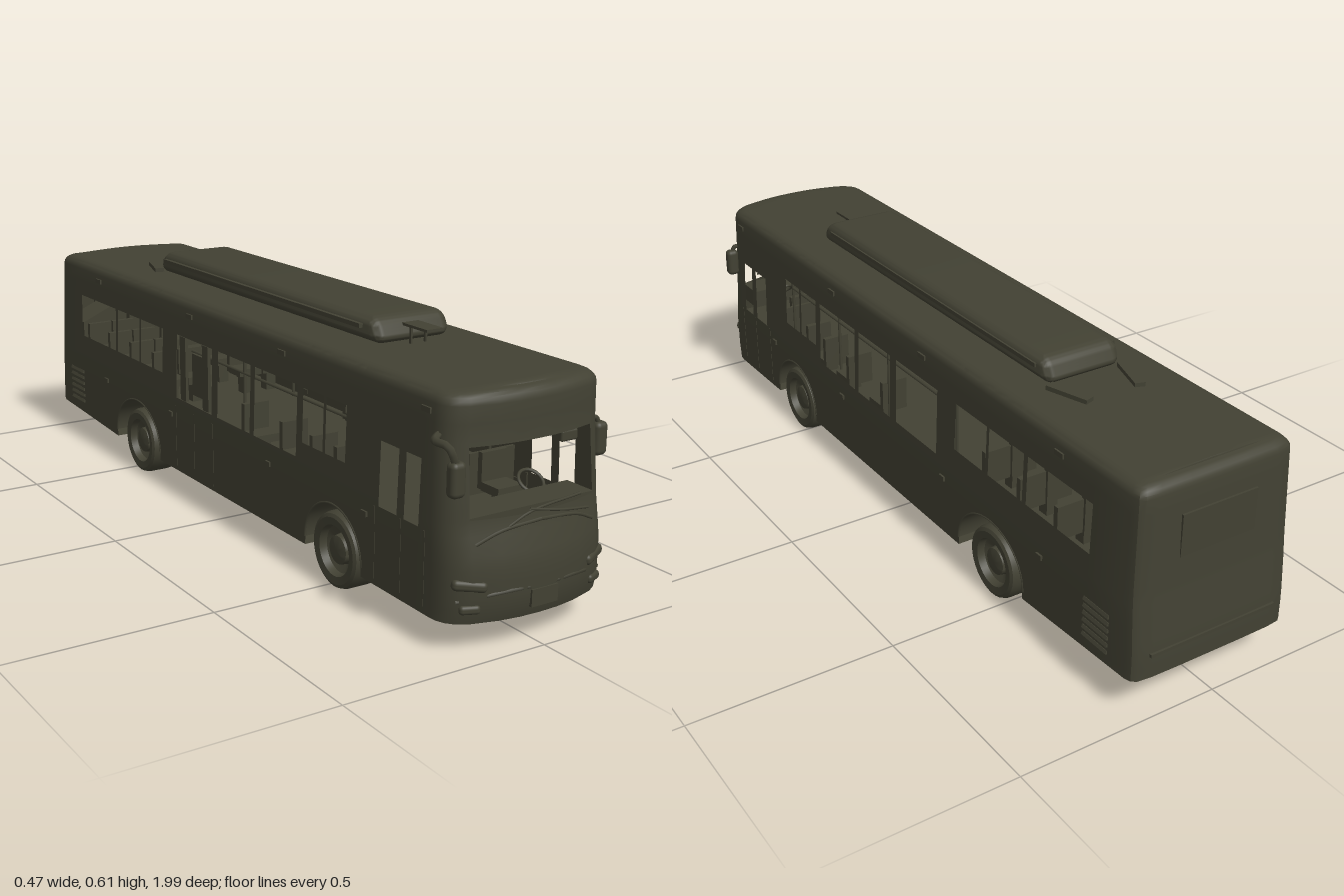
import * as THREE from 'three';
import { toCreasedNormals } from 'three/addons/utils/BufferGeometryUtils.js';
import { RoundedBoxGeometry } from 'three/addons/geometries/RoundedBoxGeometry.js';

const olive = new THREE.MeshStandardMaterial({ color: 0x424133, side: THREE.DoubleSide });
olive.name = 'darkOlive';

// side windows: [zFront, zRear, yLow, yHigh]
const WINDOWS = [
  [0.84, 0.79, 0.25, 0.395], [0.765, 0.7, 0.25, 0.395],
  [0.57, 0.49, 0.31, 0.44], [0.48, 0.395, 0.31, 0.44],
  [0.37, 0.18, 0.27, 0.44], [0.16, 0, 0.27, 0.44], [-0.03, -0.22, 0.27, 0.44],
  [-0.3, -0.43, 0.32, 0.44], [-0.44, -0.575, 0.32, 0.44], [-0.59, -0.82, 0.32, 0.44],
];
// wheel arches: centre z and half axes
const ARCHES = [{ z: 0.525, a: 0.112, b: 0.11 }, { z: -0.455, a: 0.133, b: 0.115 }];
const AXLE_Y = 0.09;

// piecewise linear lookup
function ramp(y, pts) {
  if (y <= pts[0][0]) return pts[0][1];
  for (let i = 1; i < pts.length; i++) {
    const [y0, v0] = pts[i - 1], [y1, v1] = pts[i];
    if (y <= y1) return v0 + (v1 - v0) * (y - y0) / (y1 - y0);
  }
  return pts[pts.length - 1][1];
}

// lower edge of the body, rising towards the tail
const sill = z => ramp(z, [[-0.98, 0.092], [-0.588, 0.07], [0.5, 0.07], [0.95, 0.066]]);

// lean and bulge of the walls with height
function shape(x, y, z) {
  const w = ramp(y, [[0.25, 1.005], [0.515, 0.968]]);
  const front = ramp(y, [[0.07, 0.008], [0.1, 0.02], [0.19, 0.02], [0.27, 0], [0.44, -0.02], [0.55, -0.02]]);
  const rear = ramp(y, [[0.15, -0.01], [0.3, 0], [0.55, 0.008]]);
  const dz = z > 0.85 ? front * (z - 0.85) / 0.12 : z < -0.93 ? rear : 0;
  return [x * w, y, z + dz];
}

// half plan outline from front centre round the +x side to rear centre
const NOSE = [[0, 0.972], [0.05, 0.97], [0.1, 0.963], [0.163, 0.946], [0.185, 0.934], [0.2, 0.918], [0.208, 0.9], [0.21, 0.88]];
const TAIL = [[0.21, -0.945], [0.206, -0.962], [0.195, -0.971], [0.16, -0.975], [0.08, -0.976], [0, -0.976]];
function halfPlan() {
  const zs = WINDOWS.flatMap(w => [w[0], w[1]]);
  for (const { z, a } of ARCHES) {
    zs.push(z + a, z - a);
    for (let k = 0; k <= 16; k++) zs.push(z + a * 0.998 * Math.cos(k * Math.PI / 16));
  }
  zs.sort((p, q) => q - p);
  return [...NOSE, ...zs.map(z => [0.21, z]), ...TAIL];
}

function bottomAt(x, z) {
  for (const { z: c, a, b } of ARCHES) {
    const t = (z - c) / a;
    if (Math.abs(x) > 0.2099 && Math.abs(t) < 0.999) return AXLE_Y + b * Math.sqrt(1 - t * t);
  }
  return sill(z);
}

function bodyGeometry() {
  const half = halfPlan(), n = 2 * (half.length - 1);
  const plan = [...half, ...half.slice(1, -1).reverse().map(([x, z]) => [-x, z])];
  const rows = [];
  for (let k = 0; k <= 5; k++) rows.push({ t: k / 5 });
  for (const y of [0.25, 0.27, 0.285, 0.31, 0.32, 0.395, 0.433, 0.44, 0.48]) rows.push({ y });
  for (let k = 0; k <= 5; k++) {
    const a = k * Math.PI / 10;
    rows.push({ y: 0.517 + 0.026 * Math.sin(a), inset: 0.028 * (1 - Math.cos(a)) });
  }
  const pos = [], idx = [], id = (i, r) => r * n + (i % n);
  for (const { t, y, inset = 0 } of rows) for (const [x, z] of plan) {
    const yy = y ?? THREE.MathUtils.lerp(bottomAt(x, z), 0.212, t);
    const p = shape(x, yy, z);
    pos.push(p[0] * (1 - inset / 0.2), p[1], p[2] * (1 - inset / 0.97));
  }
  const isHole = (a, b, y) => {
    const z = (a[1] + b[1]) / 2, x = Math.abs(a[0] + b[0]) / 2;
    if (z > 0.9) return x < 0.163 && y > 0.285 && y < 0.433;
    return x > 0.2099 && WINDOWS.some(w => z < w[0] && z > w[1] && y > w[2] && y < w[3]);
  };
  for (let r = 0; r < rows.length - 1; r++) for (let i = 0; i < n; i++) {
    const y = (rows[r].y + rows[r + 1].y) / 2;
    if (y && isHole(plan[i], plan[(i + 1) % n], y)) continue;
    idx.push(id(i, r), id(i + 1, r), id(i + 1, r + 1), id(i, r), id(i + 1, r + 1), id(i, r + 1));
  }
  // cambered roof between the mirrored upper edges
  const first = pos.length / 3, top = (rows.length - 1) * n, M = 6;
  for (let i = 0; i < half.length; i++) for (let k = 0; k <= M; k++) {
    const s = 1 - 2 * k / M, x = pos[(top + i) * 3], z = pos[(top + i) * 3 + 2];
    pos.push(x * s, 0.543 + 0.005 * (1 - s * s) * Math.min(1, x / 0.1), z);
  }
  for (let i = 0; i < half.length - 1; i++) for (let k = 0; k < M; k++) {
    const a = first + i * (M + 1) + k, b = a + M + 1;
    idx.push(a, b, b + 1, a, b + 1, a + 1);
  }
  const g = new THREE.BufferGeometry();
  g.setAttribute('position', new THREE.Float32BufferAttribute(pos, 3));
  g.setIndex(idx);
  return toCreasedNormals(g, 0.6);
}

// underside with notches for the wheels, following the sill height
function underbodyGeometry() {
  const notches = ARCHES.flatMap(({ z, a }) => [[0.21, z + a], [0.115, z + a], [0.115, z - a], [0.21, z - a]]);
  const right = [...NOSE, ...notches, ...TAIL].map(([x, z]) => { const p = shape(x, sill(z), z); return [p[0], p[2]]; });
  const all = [...right, ...right.slice(1, -1).reverse().map(([x, z]) => [-x, z])];
  const g = new THREE.ShapeGeometry(new THREE.Shape(all.map(p => new THREE.Vector2(...p)))).rotateX(Math.PI / 2);
  const p = g.attributes.position;
  for (let i = 0; i < p.count; i++) p.setY(i, sill(p.getZ(i)));
  g.computeVertexNormals();
  return g;
}

export function createModel() {
  const bus = new THREE.Group();
  bus.name = 'bus';
  const add = (name, geo, x = 0, y = 0, z = 0) => {
    const m = new THREE.Mesh(geo, olive);
    m.name = name;
    m.position.set(x, y, z);
    bus.add(m);
    return m;
  };
  const box = (name, w, h, d, x, y, z) => add(name, new THREE.BoxGeometry(w, h, d), x, y, z);
  const soft = (name, w, h, d, r, x, y, z) => add(name, new RoundedBoxGeometry(w, h, d, 3, r), x, y, z);
  const tube = (name, r, ...pts) => add(name, new THREE.TubeGeometry(
    new THREE.CatmullRomCurve3(pts.map(p => new THREE.Vector3(...p))), 10, r, 6));

  add('bodyShell', bodyGeometry());
  add('underbody', underbodyGeometry());

  // roof pod with sloping ends, mount and rear brackets
  const pod = new RoundedBoxGeometry(0.21, 0.058, 1.06, 4, 0.026);
  const pp = pod.attributes.position;
  for (let i = 0; i < pp.count; i++) pp.setZ(i, pp.getZ(i) * (1 - 0.9 * (pp.getY(i) + 0.029)));
  pod.computeVertexNormals();
  add('roofPod', toCreasedNormals(pod, 0.7), 0.003, 0.578, 0.005);
  box('podFrontBar', 0.045, 0.006, 0.12, 0, 0.587, 0.545);
  for (const s of [-1, 1]) {
    box('podFrontPost', 0.005, 0.04, 0.006, s * 0.02, 0.567, 0.545);
    box('podRail', 0.01, 0.01, 0.95, s * 0.106, 0.585, 0);
    box('podRearBracket', 0.025, 0.012, 0.11, s * 0.085, 0.551, -0.57).rotation.y = s * 0.3;
  }

  // wheels, liners and arch lips
  const tyre = [[0, -0.045], [0.078, -0.045], [0.088, -0.036], [0.09, -0.02], [0.09, 0.028], [0.086, 0.04], [0.078, 0.044],
    [0.06, 0.042], [0.056, 0.024], [0.036, 0.014], [0.033, 0.032], [0.02, 0.036], [0, 0.036]];
  const wheel = toCreasedNormals(new THREE.LatheGeometry(tyre.map(p => new THREE.Vector2(...p)), 32), 0.5).rotateZ(-Math.PI / 2);
  ARCHES.forEach(({ z, a, b }, k) => {
    const end = k ? 'rear' : 'front';
    for (const s of [-1, 1]) {
      add(end + 'Wheel', wheel, s * 0.164, AXLE_Y, z).rotation.y = s < 0 ? Math.PI : 0;
      const liner = new THREE.CylinderGeometry(a, a, 0.095, 24, 1, true, 0, Math.PI).rotateZ(Math.PI / 2);
      add(end + 'WheelLiner', liner, s * 0.161, AXLE_Y, z).scale.y = b / a;
      const lip = new THREE.TorusGeometry(a + 0.002, 0.003, 6, 24, Math.PI).rotateY(Math.PI / 2);
      add(end + 'ArchLip', lip, s * 0.21, AXLE_Y, z).scale.y = b / a;
      if (!k) add('frontWellWall', new THREE.CircleGeometry(a, 24, 0, Math.PI).rotateY(Math.PI / 2), s * 0.115, AXLE_Y, z);
    }
    add(end + 'Axle', new THREE.CylinderGeometry(0.02, 0.02, 0.25, 12).rotateZ(Math.PI / 2), 0, AXLE_Y, z);
  });

  // front face: lamps, bumper, plate, wipers
  for (const s of [-1, 1]) {
    soft('headlight', 0.075, 0.024, 0.03, 0.01, s * 0.163, 0.15, 0.949).rotation.set(0, s * 0.45, s * 0.12);
    soft('fogLight', 0.045, 0.02, 0.02, 0.008, s * 0.165, 0.1, 0.955).rotation.y = s * 0.4;
    tube('noseCrease', 0.004, [s * 0.155, 0.235, 0.955], [s * 0.1, 0.258, 0.966], [0, 0.268, 0.972]);
  }
  tube('bumperRidge', 0.006, [-0.19, 0.115, 0.94], [-0.1, 0.132, 0.978], [0, 0.132, 0.986], [0.1, 0.132, 0.978], [0.19, 0.115, 0.94]);
  box('numberPlate', 0.07, 0.038, 0.008, 0, 0.108, 0.991);
  tube('leftWiper', 0.003, [0.14, 0.262, 0.958], [0.06, 0.276, 0.972], [-0.03, 0.294, 0.972]);
  tube('rightWiper', 0.003, [-0.08, 0.265, 0.968], [-0.03, 0.288, 0.972], [0.115, 0.298, 0.96]);

  // mirrors
  soft('leftMirror', 0.034, 0.075, 0.03, 0.012, 0.22, 0.383, 0.895);
  tube('leftMirrorArm', 0.006, [0.19, 0.425, 0.89], [0.21, 0.43, 0.893], [0.22, 0.41, 0.895]);
  soft('rightMirror', 0.036, 0.075, 0.03, 0.012, -0.209, 0.383, 0.955);
  tube('rightMirrorArm', 0.009, [-0.195, 0.455, 0.88], [-0.228, 0.453, 0.91], [-0.225, 0.45, 0.95], [-0.209, 0.41, 0.956]);

  // side details: vents, door seams, marker lamps
  for (const s of [-1, 1]) {
    for (let k = 0; k < 6; k++) box('ventSlat', 0.008, 0.008, 0.085, s * 0.211, 0.118 + k * 0.018, -0.855).rotation.z = s * 0.4;
    for (const z of [0.86, 0.778, 0.685]) box('frontDoorSeam', 0.004, 0.165, 0.006, s * 0.21, 0.165, z);
    for (const z of [0.85, 0.3, -0.15, -0.7]) box('markerLamp', 0.008, 0.012, 0.03, s * 0.204, 0.5, z);
    for (const z of [0.65, 0.25, -0.25, -0.65]) box('sideReflector', 0.008, 0.012, 0.02, s * 0.212, 0.22, z);
  }
  for (const z of [-0.025, -0.125, -0.225]) box('middleDoorSeam', 0.004, 0.165, 0.006, -0.21, 0.165, z);
  for (const z of [-0.065, -0.185]) box('middleDoorLeaf', 0.008, 0.17, 0.03, -0.204, 0.355, z);
  box('middleDoorPanel', 0.008, 0.11, 0.07, -0.19, 0.345, -0.125);

  // rear hatch and bumper
  box('rearWindowPanel', 0.2, 0.1, 0.008, 0, 0.41, -0.972);
  box('rearBumperLine', 0.34, 0.008, 0.008, 0, 0.15, -0.986);

  // cabin interior
  box('cabinFloor', 0.4, 0.006, 1.84, 0, 0.209, 0);
  box('dashboard', 0.34, 0.05, 0.08, 0, 0.262, 0.9);
  box('driverPartition', 0.13, 0.1, 0.008, 0.125, 0.26, 0.66);
  soft('cabinMirror', 0.045, 0.025, 0.012, 0.005, 0.12, 0.41, 0.91);
  const steering = add('steeringWheel', new THREE.TorusGeometry(0.03, 0.004, 6, 20), 0.095, 0.29, 0.83);
  steering.rotation.x = -0.9;
  const outline = [[-0.19, 0.212], [0.19, 0.212], [0.19, 0.35], [0.1, 0.39], [-0.1, 0.39], [-0.19, 0.35]];
  const bulkhead = new THREE.Shape(outline.map(p => new THREE.Vector2(...p)));
  add('rearBulkhead', new THREE.ExtrudeGeometry(bulkhead, { depth: 0.1, bevelEnabled: false }), 0, 0, -0.95);
  box('rearCentreSeat', 0.1, 0.09, 0.02, 0, 0.342, -0.84);
  const seat = (x, z, y = 0.245) => {
    box('seatCushion', 0.07, 0.02, 0.06, x, y, z);
    box('seatBack', 0.07, 0.085, 0.014, x, y + 0.035, z - 0.035);
    box('seatPedestal', 0.03, y - 0.21, 0.03, x, (y + 0.21) / 2, z);
  };
  seat(0.1, 0.73);
  for (const s of [-1, 1]) {
    for (const z of [0.53, 0.43, 0.3, 0.12]) seat(s * 0.15, z);
    for (const z of [-0.36, -0.5, -0.64, -0.78]) { seat(s * 0.155, z, 0.275); seat(s * 0.08, z, 0.275); }
    tube('handRail', 0.004, [s * 0.17, 0.395, 0.6], [s * 0.17, 0.395, 0], [s * 0.17, 0.395, -0.2]);
    for (const z of [0.6, 0.33, 0.07, -0.25]) add('grabPole', new THREE.CylinderGeometry(0.004, 0.004, 0.33, 8), s * 0.17, 0.375, z);
  }
  return bus;
}
